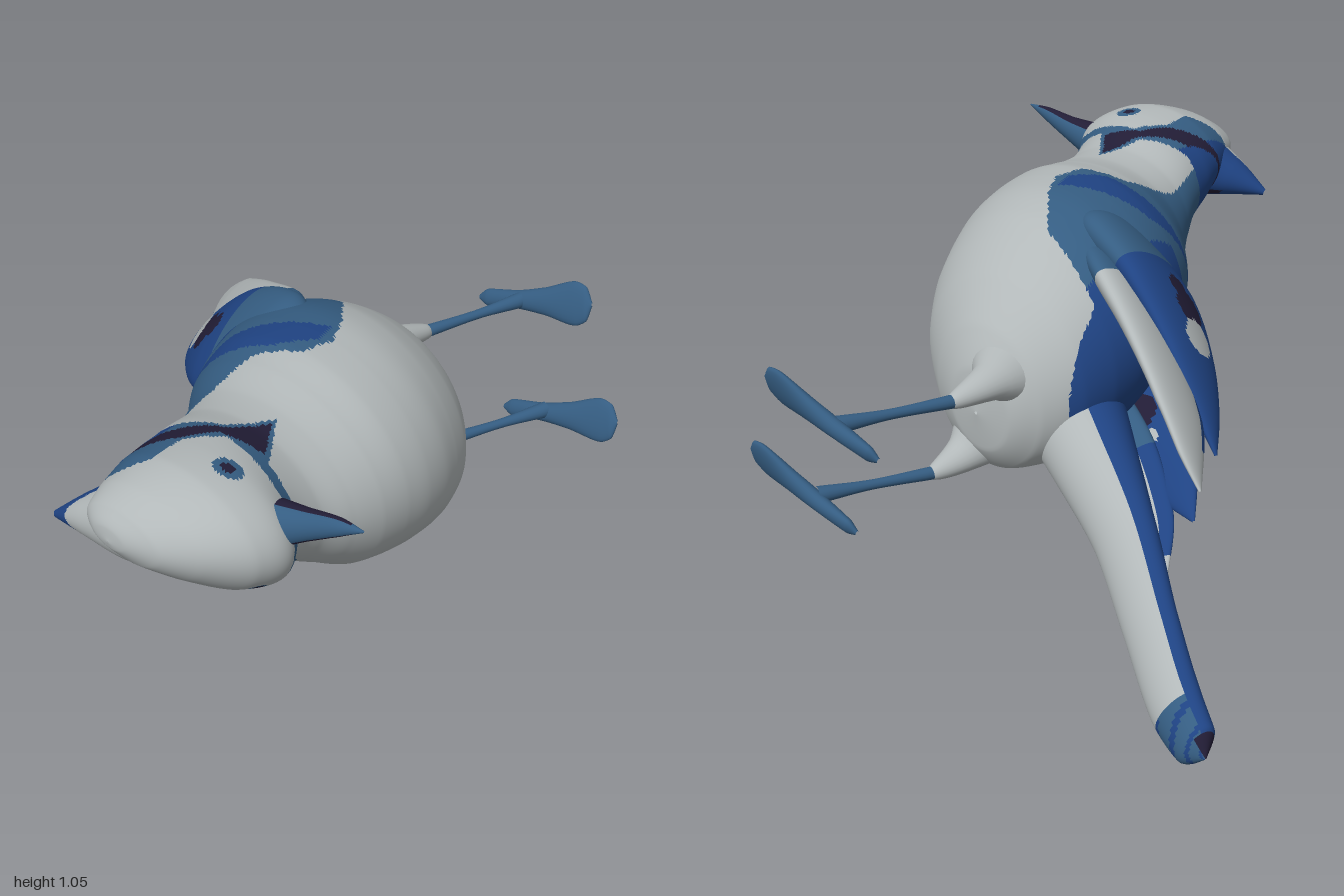
import * as THREE from 'three';

const V = (x, y, z) => new THREE.Vector3(x, y, z);
const WHITE = 0, STEEL = 1, BLUE = 2, DARK = 3;

// The bird lies on its right side: its own left axis and points on its mid plane
const LEFT = V(-0.38, 0.9, -0.2).normalize();
const MID = V(0.3, 0.66, 0.1);
const WING_MID = V(0.283, 0.68, 0.091);

const mirror = (p, mid) => p.clone().addScaledVector(LEFT, -2 * p.clone().sub(mid).dot(LEFT));
const mirrorDir = d => d.clone().addScaledVector(LEFT, -2 * d.dot(LEFT));

// Skin over elliptical rings; colorOf(point, t, cos, sin) picks the colour of each face
function skin(rings, sides, colorOf, materials) {
  const pos = [], lists = materials.map(() => []);
  for (const { c, u, v } of rings) {
    for (let j = 0; j < sides; j++) {
      const a = (j / sides) * Math.PI * 2;
      const p = c.clone().addScaledVector(u, Math.cos(a)).addScaledVector(v, Math.sin(a));
      pos.push(p.x, p.y, p.z);
    }
  }
  const at = k => V(pos[3 * k], pos[3 * k + 1], pos[3 * k + 2]);
  for (let i = 0; i < rings.length - 1; i++) {
    for (let j = 0; j < sides; j++) {
      const k = (j + 1) % sides, a = i * sides + j, b = i * sides + k;
      const angle = ((j + 0.5) / sides) * Math.PI * 2;
      for (const f of [[a, b, a + sides], [b, b + sides, a + sides]]) {
        const m = at(f[0]).add(at(f[1])).add(at(f[2])).divideScalar(3);
        lists[colorOf(m, (i + 0.5) / (rings.length - 1), Math.cos(angle), Math.sin(angle))].push(...f);
      }
    }
  }
  const g = new THREE.BufferGeometry();
  g.setAttribute('position', new THREE.Float32BufferAttribute(pos, 3));
  g.setIndex(lists.flat());
  let start = 0;
  lists.forEach((l, m) => {
    if (l.length) g.addGroup(start, l.length, m);
    start += l.length;
  });
  g.computeVertexNormals();
  return new THREE.Mesh(g, materials);
}

// Rings along a path of [x, y, z, width, thickness] with the width along a given direction
function pathRings(path, wide, steps) {
  const centres = new THREE.CatmullRomCurve3(path.map(p => V(p[0], p[1], p[2])));
  const radii = new THREE.CatmullRomCurve3(path.map(p => V(p[3], p[4], 0)));
  return Array.from({ length: steps + 1 }, (_, i) => {
    const t = i / steps, T = centres.getTangent(t), r = radii.getPoint(t);
    const u = wide.clone().addScaledVector(T, -wide.dot(T)).normalize();
    const v = T.clone().cross(u);
    return { c: centres.getPoint(t), u: u.multiplyScalar(Math.max(r.x, 0.0005)), v: v.multiplyScalar(Math.max(r.y, 0.0005)) };
  });
}

const mirrorPath = path => path.map(([x, y, z, w, t]) => {
  const p = mirror(V(x, y, z), WING_MID);
  return [p.x, p.y, p.z, w, t];
});

function inside(x, z, poly) {
  let hit = false;
  for (let i = 0, j = poly.length - 1; i < poly.length; j = i++) {
    const [xi, zi] = poly[i], [xj, zj] = poly[j];
    if ((zi > z) !== (zj > z) && x < ((xj - xi) * (z - zi)) / (zj - zi) + xi) hit = !hit;
  }
  return hit;
}

// Plumage areas drawn on the left side and mirrored to the right
const MASK = [[0.26, 0.82], [0.31, 0.68], [0.44, 0.57], [0.48, 0.45], [0.57, 0.57], [0.45, 0.61], [0.4, 0.69]];
const MASK_EDGE = [[0.1, 0.98], [0.1, 0.62], [0.28, 0.64], [0.42, 0.57], [0.475, 0.43], [0.6, 0.585], [0.85, 0.625],
  [0.85, 0.66], [0.6, 0.62], [0.48, 0.61], [0.41, 0.7], [0.42, 0.81], [0.36, 0.87], [0.28, 0.905], [0.23, 0.93], [0.21, 0.98]];
const BACK = [[-0.4, -0.45], [-0.08, -0.45], [-0.04, -0.2], [0.19, -0.14], [0.31, 0], [0.37, 0.1], [0.35, 0.2],
  [0.23, 0.27], [0.2, 0.45], [0.25, 0.64], [-0.4, 0.64]];
const SHOULDER_BAND = [[0.0, 0.3], [0.06, 0.18], [0.2, 0.11], [0.32, 0.05], [0.34, 0.13], [0.26, 0.22], [0.12, 0.26]];

function plumage(p) {
  const right = p.clone().sub(MID).dot(LEFT) < 0;
  const q = right ? mirror(p, MID) : p;
  const eye = Math.hypot((q.x - 0.585) * 0.8, q.z - (right ? 0.685 : 0.712));
  if (eye < 0.016) return DARK;
  if (eye < (right ? 0.022 : 0.034)) return STEEL;
  if (inside(q.x, q.z, MASK)) return DARK;
  if (inside(q.x, q.z, MASK_EDGE)) return q.x < 0.31 ? BLUE : STEEL;
  if (inside(q.x, q.z, SHOULDER_BAND)) return BLUE;
  if (inside(q.x, q.z, BACK)) return p.x < 0 && q.z < 0.2 ? BLUE : STEEL;
  return WHITE;
}

export function createModel() {
  const materials = Object.entries({ white: 0xb2b8b9, steelBlue: 0x355d82, deepBlue: 0x1f4383, darkPlum: 0x221d36 })
    .map(([name, color]) => {
      const m = new THREE.MeshStandardMaterial({ color });
      m.name = name;
      return m;
    });
  const bird = new THREE.Group();
  bird.name = 'bird';
  const add = (name, rings, sides, colorOf) => {
    const mesh = skin(rings, sides, colorOf, materials);
    mesh.name = name;
    bird.add(mesh);
  };

  // Body and head, as level slices: [z, x min, x max, y min, y max]
  const slices = [
    [-0.47, 0.18, 0.19, 0.49, 0.5], [-0.455, 0.07, 0.3, 0.37, 0.63], [-0.4, -0.01, 0.41, 0.29, 0.74],
    [-0.3, -0.09, 0.54, 0.26, 0.85], [-0.2, -0.12, 0.62, 0.25, 0.925], [-0.1, -0.13, 0.67, 0.26, 0.98],
    [0, -0.13, 0.71, 0.3, 1.01], [0.1, -0.1, 0.735, 0.34, 1.02], [0.2, -0.05, 0.745, 0.38, 1.02],
    [0.3, 0.01, 0.745, 0.43, 1.0], [0.4, 0.1, 0.73, 0.51, 0.98], [0.5, 0.165, 0.71, 0.58, 0.985],
    [0.6, 0.21, 0.725, 0.65, 1.015], [0.7, 0.24, 0.79, 0.68, 1.035], [0.8, 0.27, 0.775, 0.72, 1.04],
    [0.9, 0.31, 0.69, 0.785, 1.01], [0.96, 0.34, 0.6, 0.83, 0.97], [0.99, 0.4, 0.51, 0.87, 0.93],
    [0.996, 0.455, 0.46, 0.89, 0.895]];
  const mid = new THREE.CatmullRomCurve3(slices.map(([z, a, b, c, d]) => V((a + b) / 2, (c + d) / 2, z)));
  const half = new THREE.CatmullRomCurve3(slices.map(([, a, b, c, d]) => V((b - a) / 2, (d - c) / 2, 0)));
  const bodyRings = Array.from({ length: 201 }, (_, i) => {
    const r = half.getPoint(i / 200);
    return { c: mid.getPoint(i / 200), u: V(r.x, 0, 0), v: V(0, r.y, 0) };
  });
  add('bodyAndHead', bodyRings, 170, plumage);

  // Crest and beak
  add('crest', pathRings([[0.52, 0.88, 0.8, 0.12, 0.13], [0.4, 0.855, 0.85, 0.112, 0.115],
    [0.28, 0.82, 0.89, 0.062, 0.068], [0.17, 0.78, 0.925, 0.01, 0.01]], LEFT, 50), 56, plumage);
  add('beak', pathRings([[0.73, 0.92, 0.67, 0.06, 0.05], [0.8, 0.945, 0.655, 0.042, 0.034],
    [0.89, 0.98, 0.642, 0.024, 0.019], [0.96, 1.0, 0.635, 0.002, 0.002]], LEFT, 24), 24,
  (p, t, c, s) => (Math.abs(s) < 0.45 && t < 0.85 ? DARK : STEEL));

  // Flat twisted tail, blue above and white beneath, with a blue end
  add('tail', pathRings([[0.14, 0.46, -0.14, 0.17, 0.17], [-0.1, 0.385, -0.29, 0.14, 0.12],
    [-0.35, 0.285, -0.445, 0.108, 0.07], [-0.6, 0.18, -0.635, 0.092, 0.052], [-0.8, 0.1, -0.78, 0.084, 0.05],
    [-0.91, 0.07, -0.84, 0.066, 0.042], [-0.955, 0.06, -0.86, 0.002, 0.002]], V(-0.63, 0.74, 0.22).normalize(), 80), 56,
  (p, t, c, s) => {
    if (s > 0 && c < 0.78 && t < 0.69) return WHITE;
    if (t > 0.86 && c > 0.45) return DARK;
    return Math.sin(t * 60 + c * 3) > 0.6 || c > 0.8 ? BLUE : STEEL;
  });

  // Wings: a blue covert layer over a pale flight feather blade, each side
  const coverts = [[0.2, 0.86, 0.13, 0.1, 0.05], [0.08, 0.85, 0.08, 0.19, 0.08], [-0.1, 0.775, 0.03, 0.18, 0.065],
    [-0.28, 0.66, -0.06, 0.12, 0.04], [-0.4, 0.55, -0.14, 0.06, 0.025], [-0.48, 0.47, -0.2, 0.004, 0.004]];
  const flight = [[0.1, 0.86, -0.01, 0.09, 0.045], [0, 0.83, -0.06, 0.12, 0.05], [-0.21, 0.725, -0.155, 0.13, 0.042],
    [-0.41, 0.62, -0.28, 0.11, 0.03], [-0.525, 0.555, -0.375, 0.058, 0.018], [-0.6, 0.5, -0.43, 0.004, 0.004]];
  const across = V(-0.16, -0.66, 0.67).normalize();
  const spot = (p, x, y, z, r) => p.distanceTo(V(x, y, z)) < r;
  for (const [side, left] of [['left', true], ['right', false]]) {
    const place = path => (left ? path : mirrorPath(path));
    const dir = left ? across : mirrorDir(across);
    add(side + 'WingCoverts', pathRings(place(coverts), dir, 80), 80, (p, t) => {
      const q = left ? p : mirror(p, WING_MID);
      if (spot(q, -0.25, 0.69, -0.03, left ? 0.07 : 0.06)) return WHITE;
      if (spot(q, -0.165, 0.735, 0.01, 0.082) || spot(q, -0.11, 0.78, 0.02, 0.07)) return DARK;
      return t < 0.32 ? STEEL : BLUE;
    });
    add(side + 'FlightFeathers', pathRings(place(flight), dir, 60), 48, (p, t, c) => {
      if (t < (left ? 0.24 : 0.42)) return STEEL;
      return c > 0.6 && t < 0.75 ? BLUE : WHITE;
    });
  }

  // Legs: feathered thigh, thin shank and a flat splayed foot
  const legs = [
    ['left', [0.16, 0.6, -0.28], [0.11, 0.625, -0.49], [0.125, 0.61, -0.62], [0.24, 0.63, -0.95], [0.08, 0.575, -0.945], [0.49, 0.71, -0.97]],
    ['right', [0.24, 0.43, -0.25], [0.265, 0.325, -0.45], [0.285, 0.3, -0.56], [0.42, 0.32, -0.885], [0.26, 0.255, -0.885], [0.68, 0.39, -0.9]]];
  for (const [side, hip, knee, ankle, sole, heel, toe] of legs) {
    add(side + 'Thigh', pathRings([[...hip, 0.14, 0.14], [...hip.map((h, i) => (h + knee[i]) / 2), 0.1, 0.115],
      [...knee, 0.05, 0.06], [...ankle, 0.022, 0.022],
      [...ankle.map((a, i) => a + (sole[i] - a) * 0.05), 0.002, 0.002]], LEFT, 24), 24, () => WHITE);
    add(side + 'Shank', pathRings([[...ankle, 0.02, 0.02], [...ankle.map((a, i) => (a + sole[i]) / 2), 0.015, 0.015],
      [...sole, 0.026, 0.026]], LEFT, 12), 16, () => STEEL);
    const along = (f, w, t) => [...heel.map((h, i) => h + (toe[i] - h) * f), w, t];
    add(side + 'Foot', pathRings([along(0, 0.008, 0.006), along(0.08, 0.028, 0.016), along(0.35, 0.03, 0.024),
      along(0.6, 0.045, 0.024), along(0.85, 0.07, 0.018), along(0.95, 0.055, 0.014), along(1, 0.004, 0.004)],
    V(-0.3, 0.88, -0.3).normalize(), 36), 24, () => STEEL);
  }
  return bird;
}
